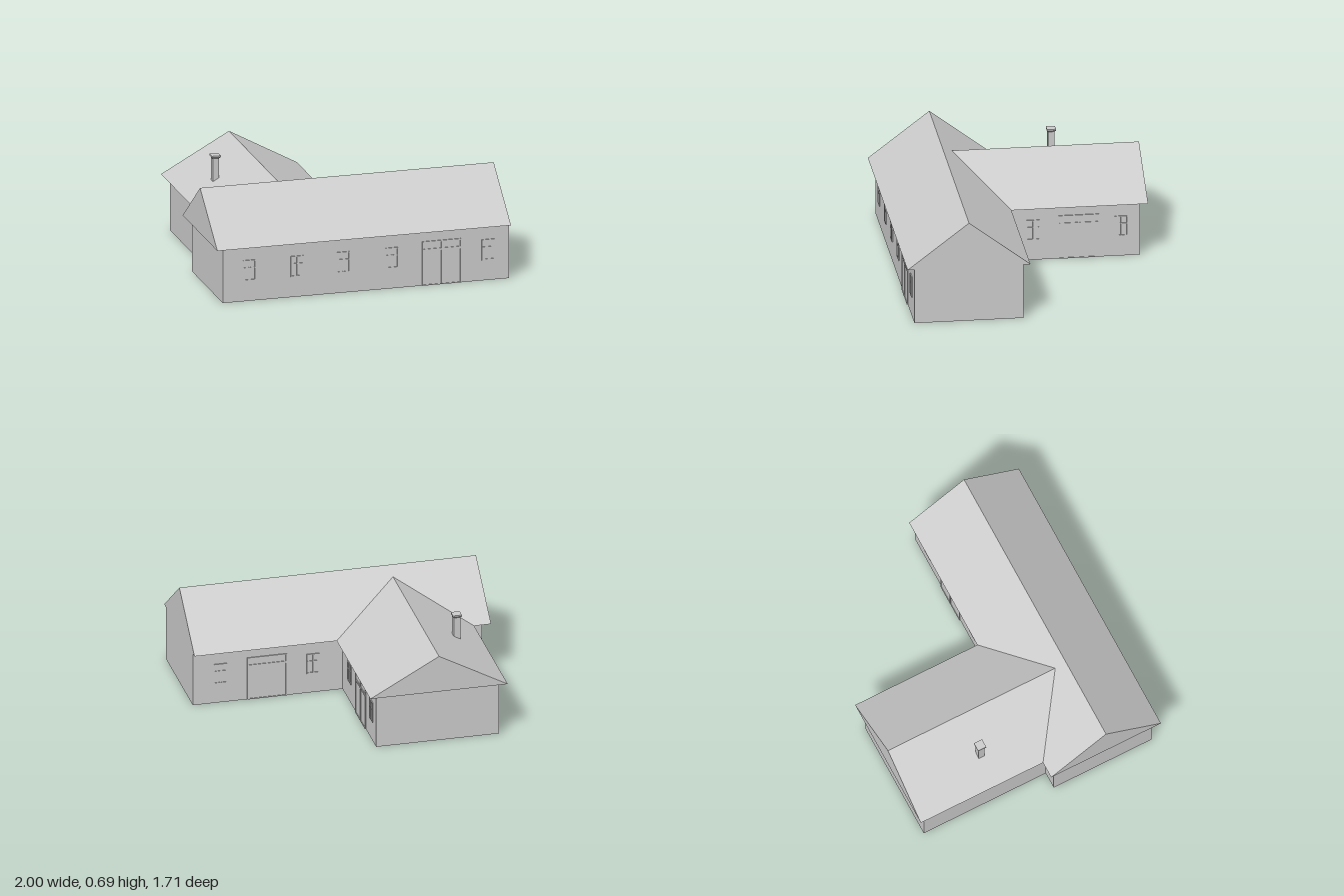
import * as THREE from 'three';

const material = new THREE.MeshStandardMaterial({ color: 0xcccccc, flatShading: true });
const WALL_TOP = 0.375;

function addMesh(parent, name, geometry, x = 0, y = 0, z = 0) {
  const mesh = new THREE.Mesh(geometry, material);
  mesh.name = name;
  mesh.position.set(x, y, z);
  parent.add(mesh);
  return mesh;
}

// Gabled prism between two end triangles, each given as [left, apex, right] seen from outside end A.
function gableRoof([l0, a0, r0], [l1, a1, r1]) {
  const quad = (a, b, c, d) => [a, b, c, a, c, d];
  const corners = [
    l0, r0, a0, l1, a1, r1,
    ...quad(l0, a0, a1, l1), ...quad(r0, r1, a1, a0), ...quad(l0, l1, r1, r0),
  ];
  const geometry = new THREE.BufferGeometry();
  geometry.setAttribute('position', new THREE.Float32BufferAttribute(corners.flat(), 3));
  geometry.computeVertexNormals();
  return geometry;
}

const rect = (Type, x0, y0, x1, y1) =>
  new Type([[x0, y0], [x1, y0], [x1, y1], [x0, y1]].map(([x, y]) => new THREE.Vector2(x, y)));

// Thin frame standing on the wall, with panes [x0, y0, x1, y1] cut out and a backing panel.
function framedOpening(name, width, bottom, top, panes) {
  const group = new THREE.Group();
  group.name = name;
  const shape = rect(THREE.Shape, -width / 2, bottom, width / 2, top);
  panes.forEach((p) => shape.holes.push(rect(THREE.Path, ...p)));
  addMesh(group, name + 'Frame', new THREE.ExtrudeGeometry(shape, { depth: 0.007, bevelEnabled: false }));
  addMesh(group, name + 'Panel', new THREE.BoxGeometry(width - 0.004, top - bottom - 0.004, 0.004),
    0, (bottom + top) / 2, 0);
  return group;
}

// Two-leaf window with a crossbar
function createWindow() {
  const panes = [];
  for (const x of [-0.037, 0.003]) panes.push([x, 0.147, x + 0.034, 0.225], [x, 0.231, x + 0.034, 0.273]);
  return framedOpening('window', 0.086, 0.14, 0.28, panes);
}

// Double door with a two-pane transom
function createDoor() {
  const panes = [];
  for (const x of [-0.126, 0.004]) panes.push([x, 0.006, x + 0.122, 0.235], [x, 0.25, x + 0.122, 0.293]);
  return framedOpening('door', 0.266, 0.001, 0.302, panes);
}

export function createModel() {
  const model = new THREE.Group();
  model.name = 'house';

  // Walls of both wings, raised from one footprint (x, -z)
  const footprint = new THREE.Shape([
    [-0.95, -0.81], [1, -0.81], [1, -0.09], [-0.01, -0.09],
    [-0.01, 0.81], [-0.837, 0.81], [-0.837, -0.09], [-0.95, -0.09],
  ].map(([x, y]) => new THREE.Vector2(x, y)));
  const walls = new THREE.ExtrudeGeometry(footprint, { depth: WALL_TOP, bevelEnabled: false });
  walls.rotateX(-Math.PI / 2);
  addMesh(model, 'walls', walls);

  // Main roof along x
  const mainEnd = (x) => [[x, WALL_TOP, 0.045], [x, 0.685, 0.45], [x, WALL_TOP, 0.855]];
  addMesh(model, 'mainRoof', gableRoof(mainEnd(-1), mainEnd(1)));

  // Rear wing roof along z, its ridge running into the main slope to form two valleys
  const wingEnd = (eaveZ, ridgeZ) =>
    [[0.041, WALL_TOP, eaveZ], [-0.422, 0.63, ridgeZ], [-0.885, WALL_TOP, eaveZ]];
  addMesh(model, 'rearWingRoof', gableRoof(wingEnd(-0.857, -0.857), wingEnd(0.045, 0.378)));

  // Chimney with a flared cap
  const chimney = new THREE.Group();
  chimney.name = 'chimney';
  chimney.position.set(-0.676, 0, -0.31);
  addMesh(chimney, 'chimneyShaft', new THREE.BoxGeometry(0.044, 0.19, 0.044), 0, 0.545, 0);
  const flare = new THREE.CylinderGeometry(0.03 * Math.SQRT2, 0.022 * Math.SQRT2, 0.01, 4).rotateY(Math.PI / 4);
  addMesh(chimney, 'chimneyFlare', flare, 0, 0.64, 0);
  addMesh(chimney, 'chimneyCap', new THREE.BoxGeometry(0.06, 0.01, 0.06), 0, 0.65, 0);
  model.add(chimney);

  // Openings: wall facing angle, then [kind, x, z]
  const facades = [
    [0, [-0.77, -0.445, -0.13, 0.2, 0.855].map((x) => [createWindow, x, 0.81]).concat([[createDoor, 0.54, 0.81]])],
    [Math.PI, [[createWindow, 0.815, 0.09], [createDoor, 0.5, 0.09], [createWindow, 0.19, 0.09]]],
    [Math.PI / 2, [[createWindow, -0.01, -0.105], [createDoor, -0.01, -0.405], [createWindow, -0.01, -0.685]]],
  ];
  for (const [angle, openings] of facades) {
    for (const [create, x, z] of openings) {
      const opening = create();
      opening.position.set(x, 0, z);
      opening.rotation.y = angle;
      model.add(opening);
    }
  }
  return model;
}
